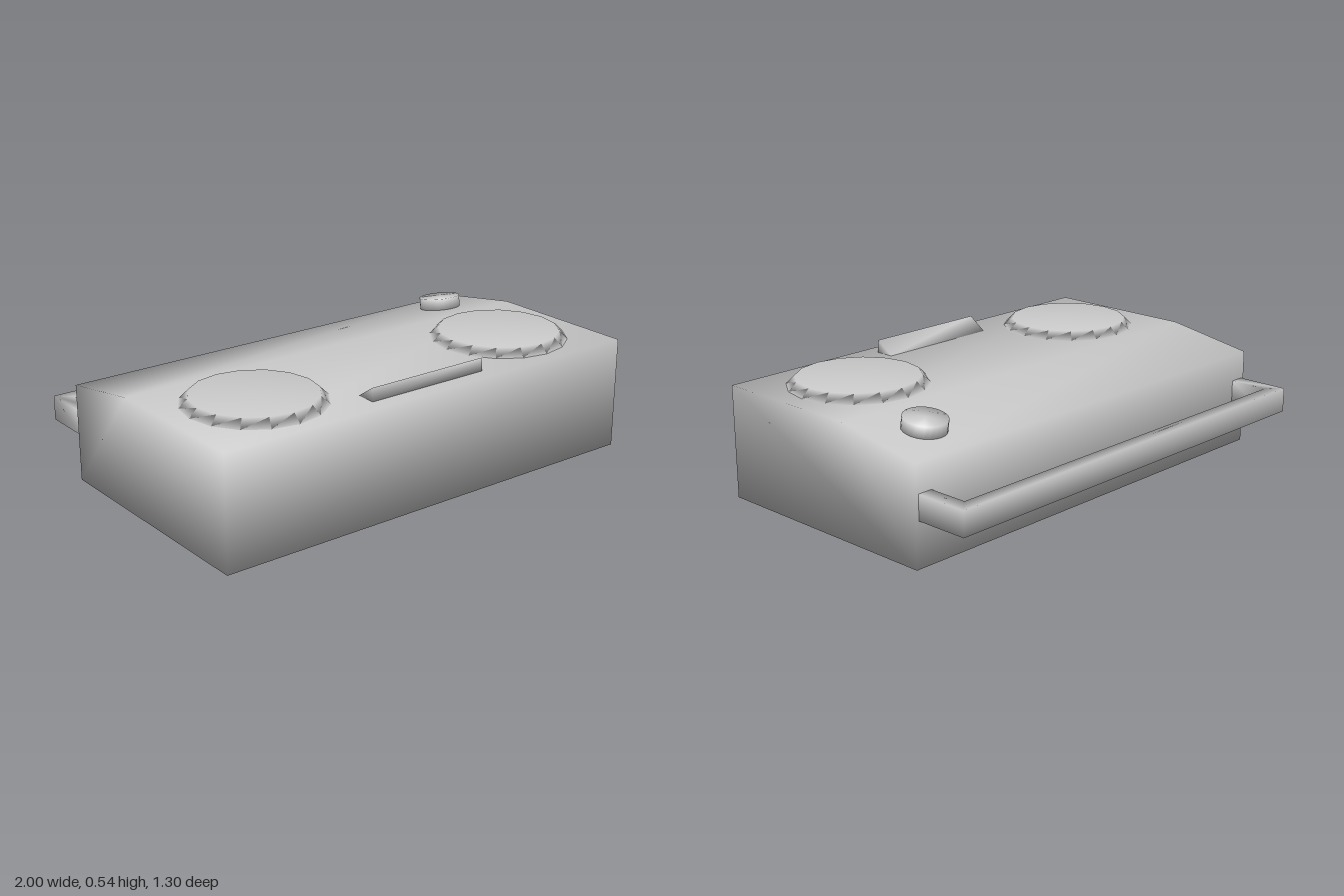
import * as THREE from 'three';
import { mergeVertices } from 'three/addons/utils/BufferGeometryUtils.js';

const material = new THREE.MeshStandardMaterial({ color: 0xcccccc });

// Share corner vertices so the shading runs smoothly over the edges.
function soften(geometry) {
  geometry.deleteAttribute('normal');
  geometry.deleteAttribute('uv');
  const merged = mergeVertices(geometry, 1e-4);
  merged.computeVertexNormals();
  return merged;
}

function addPart(group, name, geometry) {
  const mesh = new THREE.Mesh(soften(geometry), material);
  mesh.name = name;
  group.add(mesh);
  return mesh;
}

function extrude(points, depth) {
  const shape = new THREE.Shape(points.map(([x, y]) => new THREE.Vector2(x, y)));
  return new THREE.ExtrudeGeometry(shape, { depth, bevelEnabled: false });
}

// Side profile given as [z, y], extended across x and centred.
function acrossX(profile, width) {
  return extrude(profile.map(([z, y]) => [-z, y]), width)
    .rotateY(Math.PI / 2)
    .translate(-width / 2, 0, 0);
}

export function createModel() {
  const group = new THREE.Group();
  group.name = 'portableStereo';

  // Case lying on its back, with a sloped strip towards the handle
  addPart(group, 'case', acrossX(
    [[0.65, 0], [0.65, 0.48], [-0.03, 0.48], [-0.42, 0.415], [-0.42, 0]], 2));

  // Tapered speaker discs
  for (const [name, side] of [['leftSpeaker', 1], ['rightSpeaker', -1]]) {
    const speaker = addPart(group, name, new THREE.CylinderGeometry(0.257, 0.292, 0.035, 16));
    speaker.position.set(side * 0.63, 0.4975, 0.305);
  }

  // Wedge-shaped bar between the speakers
  addPart(group, 'wedgeBar', acrossX([[0.585, 0.48], [0.58, 0.535], [0.5, 0.48]], 0.56));

  // Dial standing square to the sloped strip
  const dial = addPart(group, 'dial', new THREE.CylinderGeometry(0.09, 0.09, 0.06, 24));
  dial.position.set(0.775, 0.466, -0.235);
  dial.rotation.x = -Math.atan2(0.065, 0.39);

  // U-shaped carrying handle, drawn as [x, -z]
  addPart(group, 'handle', extrude([
    [-0.985, 0.42], [-0.92, 0.42], [-0.92, 0.59], [0.92, 0.59],
    [0.92, 0.42], [0.985, 0.42], [0.985, 0.65], [-0.985, 0.65],
  ], 0.105).rotateX(-Math.PI / 2).translate(0, 0.19, 0));

  return group;
}
